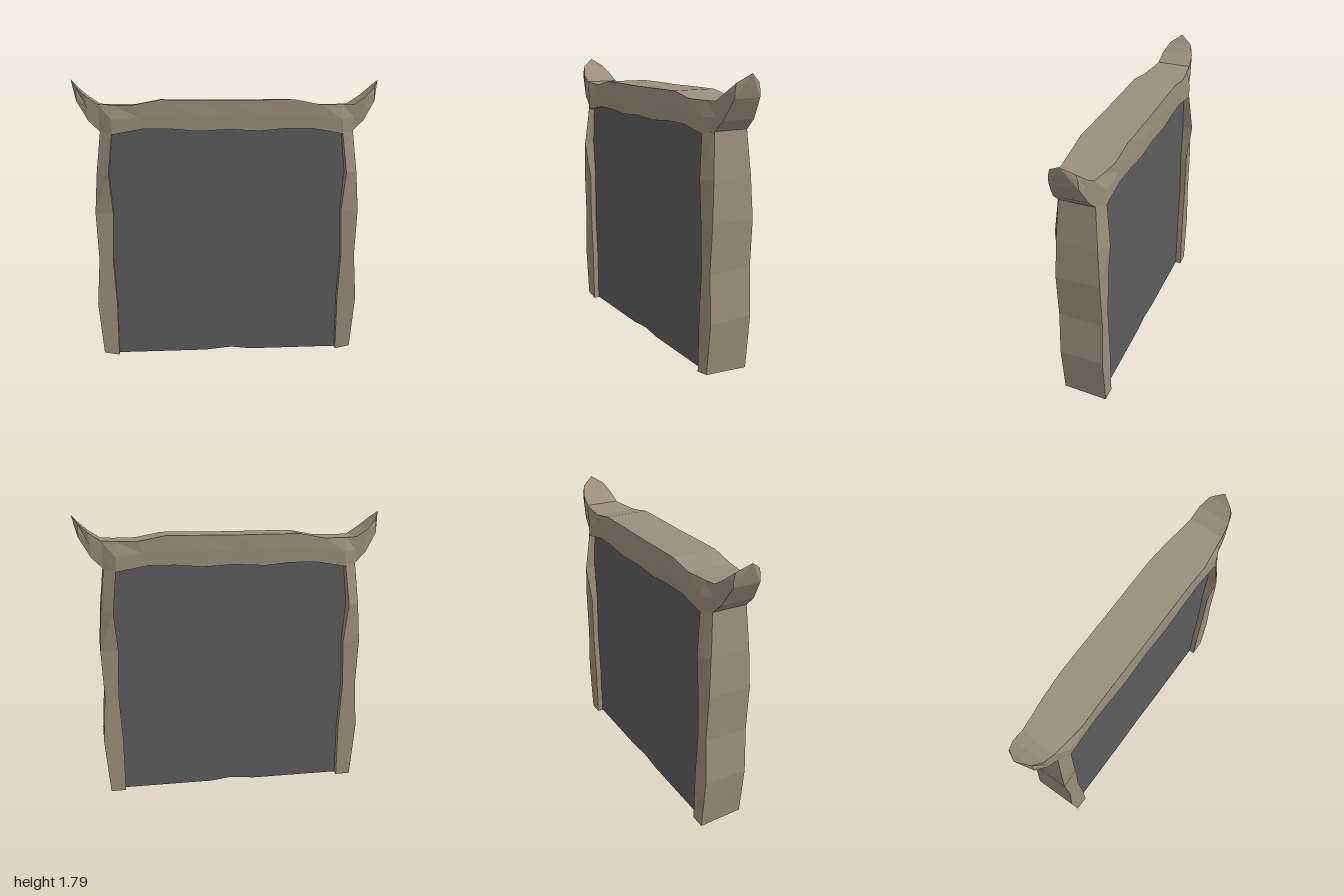
import * as THREE from 'three';

// Flat-shaded skin through rings of points, closed at both ends.
// Rings run counter-clockwise seen from the far end of the loft.
function loft(rings) {
  const pos = [];
  const tri = (a, b, c) => pos.push(...a, ...b, ...c);
  const n = rings[0].length;
  for (let r = 0; r < rings.length - 1; r++) {
    const a = rings[r], b = rings[r + 1];
    for (let i = 0; i < n; i++) {
      const j = (i + 1) % n;
      tri(a[i], a[j], b[j]);
      tri(a[i], b[j], b[i]);
    }
  }
  const first = rings[0], last = rings[rings.length - 1];
  for (let i = 1; i < n - 1; i++) {
    tri(first[0], first[i + 1], first[i]);
    tri(last[0], last[i], last[i + 1]);
  }
  const geo = new THREE.BufferGeometry();
  geo.setAttribute('position', new THREE.Float32BufferAttribute(pos, 3));
  geo.computeVertexNormals();
  return geo;
}

export function createModel() {
  const group = new THREE.Group();
  const wood = new THREE.MeshStandardMaterial({ color: 0x9b8f7b, flatShading: true });
  wood.name = 'weathered wood';
  const slate = new THREE.MeshStandardMaterial({ color: 0x5d5d5d, flatShading: true });
  slate.name = 'dark slate';

  const add = (name, geo, mat) => {
    const mesh = new THREE.Mesh(geo, mat);
    mesh.name = name;
    group.add(mesh);
  };

  // Uneven posts: y, inner x, outer x, inner half depth, outer half depth
  const postRows = [
    [0, 0.725, 0.82, 0.142, 0.142],
    [0.35, 0.73, 0.855, 0.142, 0.142],
    [0.65, 0.75, 0.838, 0.142, 0.142],
    [0.95, 0.742, 0.855, 0.146, 0.14],
    [1.2, 0.765, 0.842, 0.173, 0.128],
    [1.46, 0.74, 0.816, 0.146, 0.112],
    [1.52, 0.74, 0.815, 0.14, 0.11],
  ];
  for (const side of [1, -1]) {
    const rings = postRows.map(([y, xi, xo, zi, zo]) => {
      const lift = y === 0 ? 0.018 : 0; // foot is cut at a slight slant
      const ring = [
        [side * xi, y, zi], [side * xo, y + lift, zo],
        [side * xo, y, -zo], [side * xi, y, -zi],
      ];
      return side > 0 ? ring : ring.reverse();
    });
    add(side > 0 ? 'leftPost' : 'rightPost', loft(rings), wood);
  }

  // Lintel sweeping up into a horn at each end:
  // top x, top y, bottom x, bottom y, top half depth, bottom half depth
  const beamRows = [
    [0, 1.665, 0, 1.48, 0.143, 0.145],
    [0.2, 1.667, 0.2, 1.47, 0.143, 0.148],
    [0.43, 1.668, 0.37, 1.485, 0.143, 0.146],
    [0.6, 1.636, 0.54, 1.485, 0.14, 0.143],
    [0.74, 1.636, 0.74, 1.45, 0.123, 0.146],
    [0.825, 1.64, 0.816, 1.47, 0.113, 0.112],
    [0.9, 1.69, 0.885, 1.535, 0.105, 0.105],
    [0.96, 1.745, 0.96, 1.66, 0.075, 0.085],
    [1, 1.795, 1, 1.795, 0, 0],
  ];
  const beamRing = ([xt, yt, xb, yb, zt, zb], side) => {
    const xm = side * (xt + xb) / 2, ym = (yt + yb) / 2, zm = Math.max(zt, zb);
    return [
      [side * xt, yt, -zt], [side * xt, yt, zt], [xm, ym, zm],
      [side * xb, yb, zb], [side * xb, yb, -zb], [xm, ym, -zm],
    ];
  };
  add('hornedLintel', loft([
    ...beamRows.slice(1).reverse().map((row) => beamRing(row, -1)),
    ...beamRows.map((row) => beamRing(row, 1)),
  ]), wood);

  // Recessed panel with a small nick in its lower edge
  const outline = new THREE.Shape([
    [-0.775, 0.004], [-0.15, 0.004], [0.02, 0.02], [0.15, 0.004], [0.775, 0.004],
    [0.785, 1.2], [0.76, 1.53], [-0.76, 1.53], [-0.785, 1.2],
  ].map(([x, y]) => new THREE.Vector2(x, y)));
  const panel = new THREE.ExtrudeGeometry(outline, { depth: 0.21, bevelEnabled: false });
  panel.translate(0, 0, -0.105);
  add('panel', panel, slate);

  return group;
}
